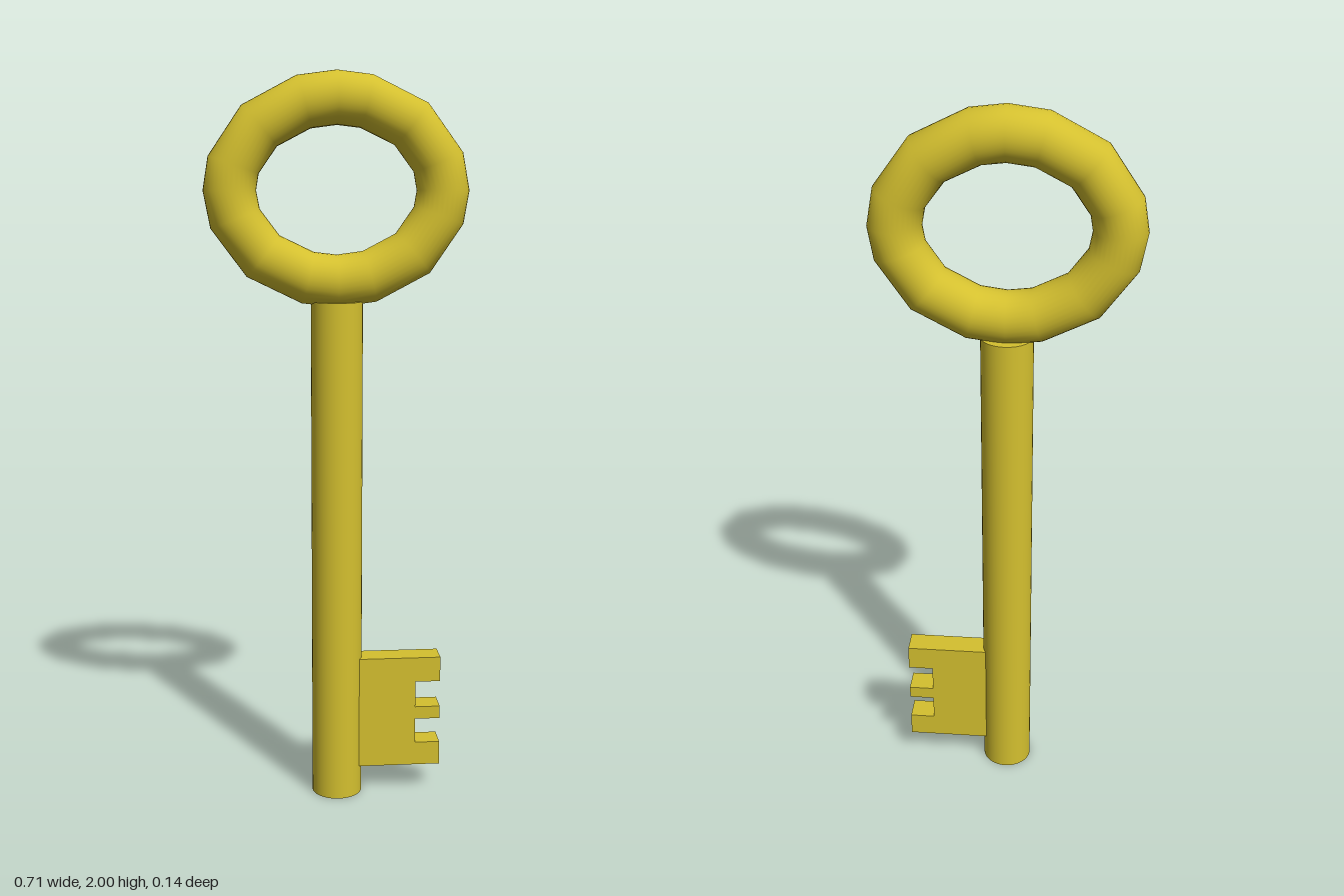
import * as THREE from 'three';

const brass = new THREE.MeshStandardMaterial({ color: 0xd4c02f });

// Round tube swept around an oval path, smooth shaded
function ovalRing(rx, ry, tube, sides) {
  const angles = [];
  for (let q = 0; q < 4; q++) {
    // steps within each quadrant; odd quadrants run the same list
    for (const a of [0, 18, 46, 74]) angles.push(THREE.MathUtils.degToRad(q * 90 + (q % 2 && a ? 92 - a : a)));
  }
  angles.sort((a, b) => a - b);
  const n = angles.length, pos = [], index = [];
  angles.forEach((t, i) => {
    const c = Math.cos(t), s = Math.sin(t);
    const out = new THREE.Vector2(c / rx, s / ry).normalize();
    for (let j = 0; j < sides; j++) {
      const p = (j / sides) * Math.PI * 2, r = tube * Math.cos(p);
      pos.push(rx * c + out.x * r, ry * s + out.y * r, tube * Math.sin(p));
      const i2 = (i + 1) % n, j2 = (j + 1) % sides;
      const a = i * sides + j, b = i2 * sides + j, d = i2 * sides + j2, e = i * sides + j2;
      index.push(a, b, d, a, d, e);
    }
  });
  const g = new THREE.BufferGeometry();
  g.setAttribute('position', new THREE.Float32BufferAttribute(pos, 3));
  g.setIndex(index);
  g.computeVertexNormals();
  return g;
}

export function createModel() {
  const key = new THREE.Group();
  key.name = 'key';
  const add = (name, geometry, x, y, z) => {
    const mesh = new THREE.Mesh(geometry, brass);
    mesh.name = name;
    mesh.position.set(x, y, z);
    key.add(mesh);
  };

  // Oval handle
  add('bow', ovalRing(0.283, 0.238, 0.07, 32), 0, 1.692, 0);

  // Straight round shaft
  add('shaft', new THREE.CylinderGeometry(0.07, 0.07, 1.4, 40), 0, 0.7, 0);

  // Flat bit with two notches cut into its outer edge
  const outline = [
    [0, 0.08], [0.29, 0.08], [0.29, 0.147], [0.22, 0.147], [0.22, 0.218], [0.29, 0.218],
    [0.29, 0.254], [0.22, 0.254], [0.22, 0.329], [0.29, 0.329], [0.29, 0.4], [0, 0.4],
  ];
  const shape = new THREE.Shape(outline.map(([x, y]) => new THREE.Vector2(x, y)));
  add('bit', new THREE.ExtrudeGeometry(shape, { depth: 0.07, bevelEnabled: false }), 0, 0, -0.035);

  return key;
}
